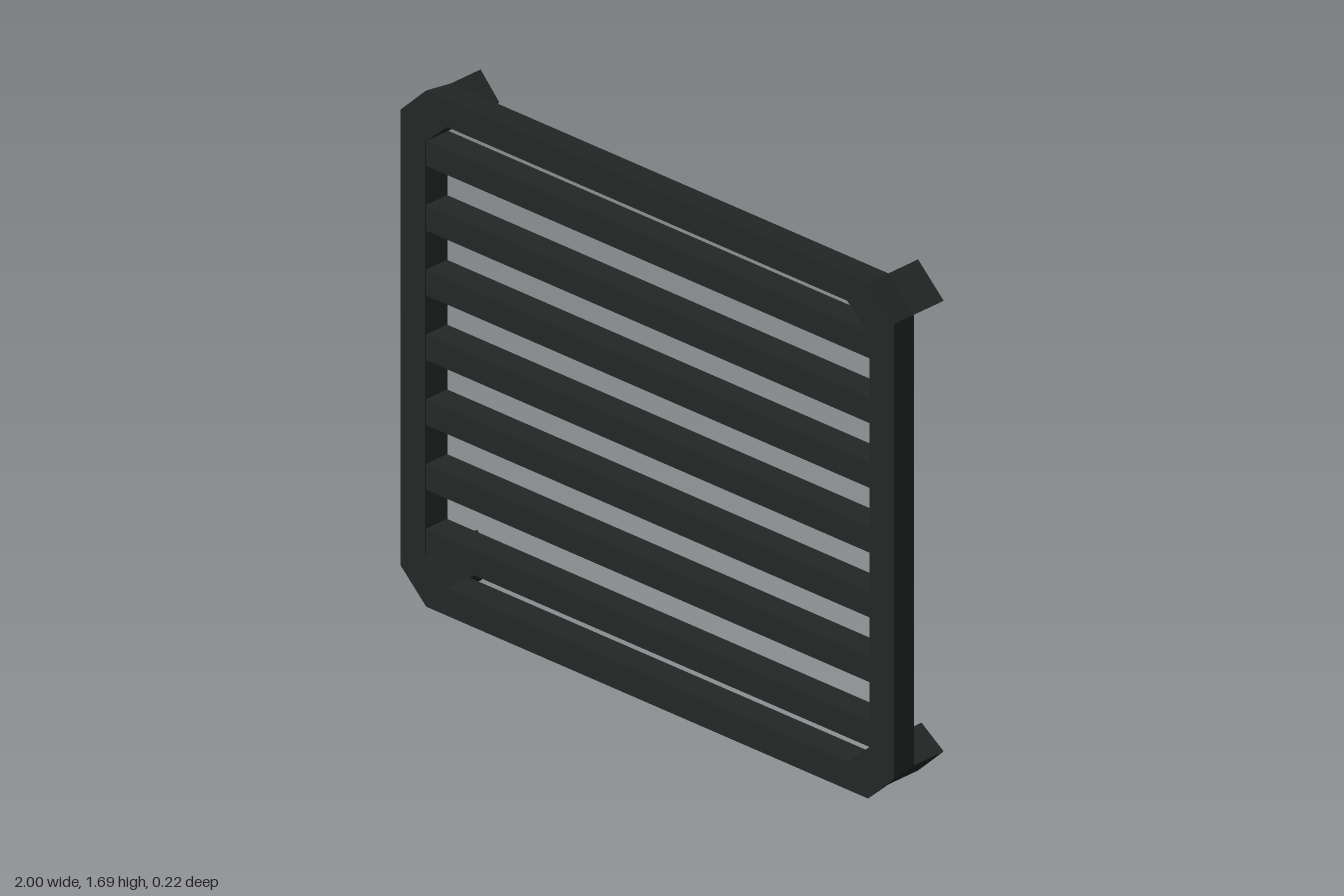
import * as THREE from 'three';

const MID = 0.845;               // height of the grille's centre
const FRONT = 0.11, SEAT = 0.015, BACK = -0.11;
const material = new THREE.MeshStandardMaterial({ color: 0x222826, flatShading: true });

// Flat-sided prism between two outlines of equal point count, front and back
function prism(name, front, back, zFront, zBack) {
  const area = front.reduce((sum, p, i) => {
    const q = front[(i + 1) % front.length];
    return sum + p[0] * q[1] - q[0] * p[1];
  }, 0);
  if (area < 0) {                // keep outlines anticlockwise so faces point out
    front = [...front].reverse();
    back = [...back].reverse();
  }
  const n = front.length, index = [];
  const position = [
    ...front.flatMap(([x, y]) => [x, y + MID, zFront]),
    ...back.flatMap(([x, y]) => [x, y + MID, zBack]),
  ];
  for (let i = 0; i < n; i++) {
    const j = (i + 1) % n;
    index.push(i, n + i, n + j, i, n + j, j);
    if (i > 0 && i < n - 1) index.push(0, i, i + 1, n, n + i + 1, n + i);
  }
  const indexed = new THREE.BufferGeometry();
  indexed.setAttribute('position', new THREE.Float32BufferAttribute(position, 3));
  indexed.setIndex(index);
  const geometry = indexed.toNonIndexed();
  geometry.computeVertexNormals();
  const mesh = new THREE.Mesh(geometry, material);
  mesh.name = name;
  return mesh;
}

// Corner joints of the frame, relative to its centre
const outerSide = [1, 0.745], outerTop = [0.895, 0.845];
const innerSide = [0.9, 0.675], innerTop = [0.81, 0.755];
const taper = ([x, y]) => [x * 0.99, y * 0.99];
const flip = (sx, sy) => ([x, y]) => [x * sx, y * sy];

// Frame member whose outer edge narrows slightly towards the back
function member(name, outer, inner) {
  return prism(name, [...outer, ...inner], [...outer.map(taper), ...inner], FRONT, SEAT);
}

export function createModel() {
  const group = new THREE.Group();
  group.name = 'slattedGrille';

  // Straight rails of the frame
  for (const s of [1, -1]) {
    const a = flip(s, 1), b = flip(s, -1);
    group.add(member(s > 0 ? 'leftRail' : 'rightRail',
      [b(outerSide), a(outerSide)], [a(innerSide), b(innerSide)]));
    const c = flip(1, s), d = flip(-1, s);
    group.add(member(s > 0 ? 'topRail' : 'bottomRail',
      [c(outerTop), d(outerTop)], [d(innerTop), c(innerTop)]));
  }

  // Diagonal corners, each with a mounting foot reaching back
  for (const sx of [1, -1]) for (const sy of [1, -1]) {
    const f = flip(sx, sy);
    const outer = [outerSide, outerTop].map(f), inner = [innerTop, innerSide].map(f);
    group.add(member('frameCorner', outer, inner));
    const foot = [...outer.map(taper), ...inner];
    group.add(prism('mountingFoot', foot, foot, SEAT, BACK));
  }

  // Horizontal slats between the side rails
  const slat = new THREE.BoxGeometry(1.8, 0.083, 0.09);
  for (let i = 0; i < 7; i++) {
    const mesh = new THREE.Mesh(slat, material);
    mesh.name = 'slat';
    mesh.position.set(0, 0.21 + i * 0.212, 0.0615);
    group.add(mesh);
  }
  return group;
}
